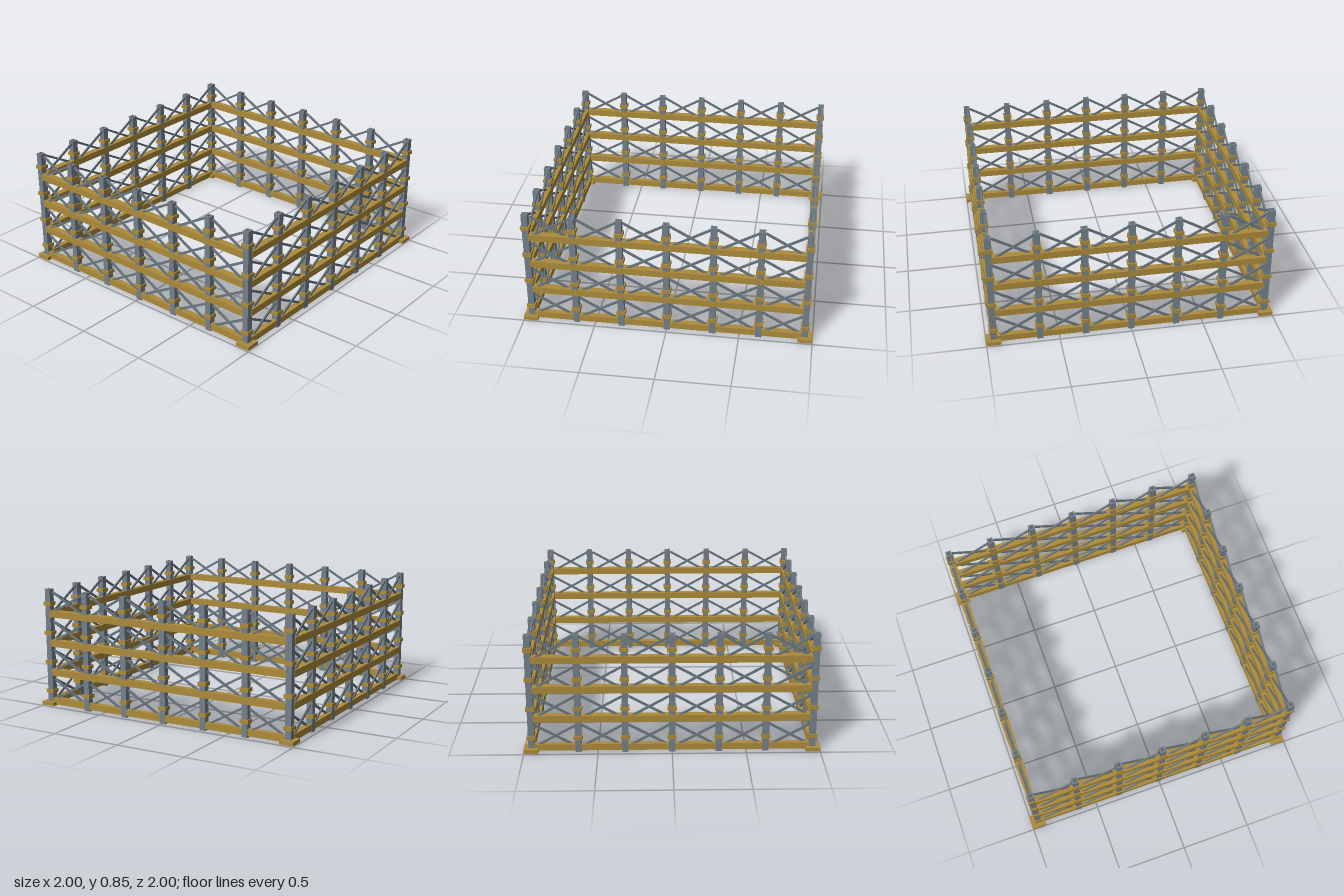
import * as THREE from 'three';

const STEEL = new THREE.MeshStandardMaterial({ color: 0x74808a });
STEEL.name = 'steel grey';
const BRACE = new THREE.MeshStandardMaterial({ color: 0x6a767f });
BRACE.name = 'brace grey';
const GOLD = new THREE.MeshStandardMaterial({ color: 0xac8b3a });
GOLD.name = 'ochre';

const HALF = 0.947;          // post line distance from the centre
const BAYS = 6, TIERS = 4;
const PITCH = (2 * HALF) / BAYS;
const TIER = 0.2115;
const HEIGHT = 0.845;

// Square tube standing along +y, centred on its axis
function squareTube(outer, inner, height) {
  const o = outer / 2, i = inner / 2;
  const shape = new THREE.Shape([[-o, -o], [o, -o], [o, o], [-o, o]].map(p => new THREE.Vector2(...p)));
  shape.holes.push(new THREE.Path([[-i, -i], [-i, i], [i, i], [i, -i]].map(p => new THREE.Vector2(...p))));
  return new THREE.ExtrudeGeometry(shape, { depth: height, bevelEnabled: false }).rotateX(-Math.PI / 2);
}

function add(parent, name, geometry, material, x, y, z) {
  const mesh = new THREE.Mesh(geometry, material);
  mesh.name = name;
  mesh.position.set(x, y, z);
  parent.add(mesh);
  return mesh;
}

export function createModel() {
  const model = new THREE.Group();
  model.name = 'scaffoldEnclosure';

  const postGeo = squareTube(0.043, 0.022, HEIGHT);
  const collarGeo = squareTube(0.06, 0.042, 0.026);
  const beamGeo = new THREE.BoxGeometry(2 * HALF - 0.034, 0.047, 0.049);
  const sillGeo = new THREE.BoxGeometry(2 * HALF - 0.034, 0.045, 0.041);
  const padGeo = new THREE.BoxGeometry(0.1, 0.026, 0.1);
  const dx = PITCH - 0.046, dy = 0.152;
  const braceGeo = new THREE.BoxGeometry(Math.hypot(dx, dy), 0.015, 0.011);

  // Four equal walls, each owning the post at its left end
  for (let side = 0; side < 4; side++) {
    const wall = new THREE.Group();
    wall.name = ['frontWall', 'leftWall', 'backWall', 'rightWall'][side];
    wall.rotation.y = side * Math.PI / 2;
    model.add(wall);

    add(wall, 'cornerPad', padGeo, GOLD, -0.95, 0.02, 0.95);

    for (let b = 0; b < BAYS; b++) {
      const x = -HALF + b * PITCH;
      add(wall, 'post', postGeo, STEEL, x, 0, HALF);
      for (let t = 0; t < TIERS; t++) {
        const y = t * TIER;
        add(wall, 'collar', collarGeo, GOLD, x, y + 0.095, HALF);
        // Crossed braces in each bay
        for (const s of [-1, 1]) {
          const brace = add(wall, 'brace', braceGeo, BRACE, x + PITCH / 2, y + 0.115, HALF + s * 0.006);
          brace.rotation.z = s * Math.atan2(dy, dx);
        }
      }
    }

    // Horizontal rails, the lowest one recessed between the posts
    for (let t = 0; t < TIERS; t++) {
      add(wall, t ? 'rail' : 'sill', t ? beamGeo : sillGeo, GOLD, 0, t * TIER + 0.036, HALF);
    }
  }
  return model;
}
